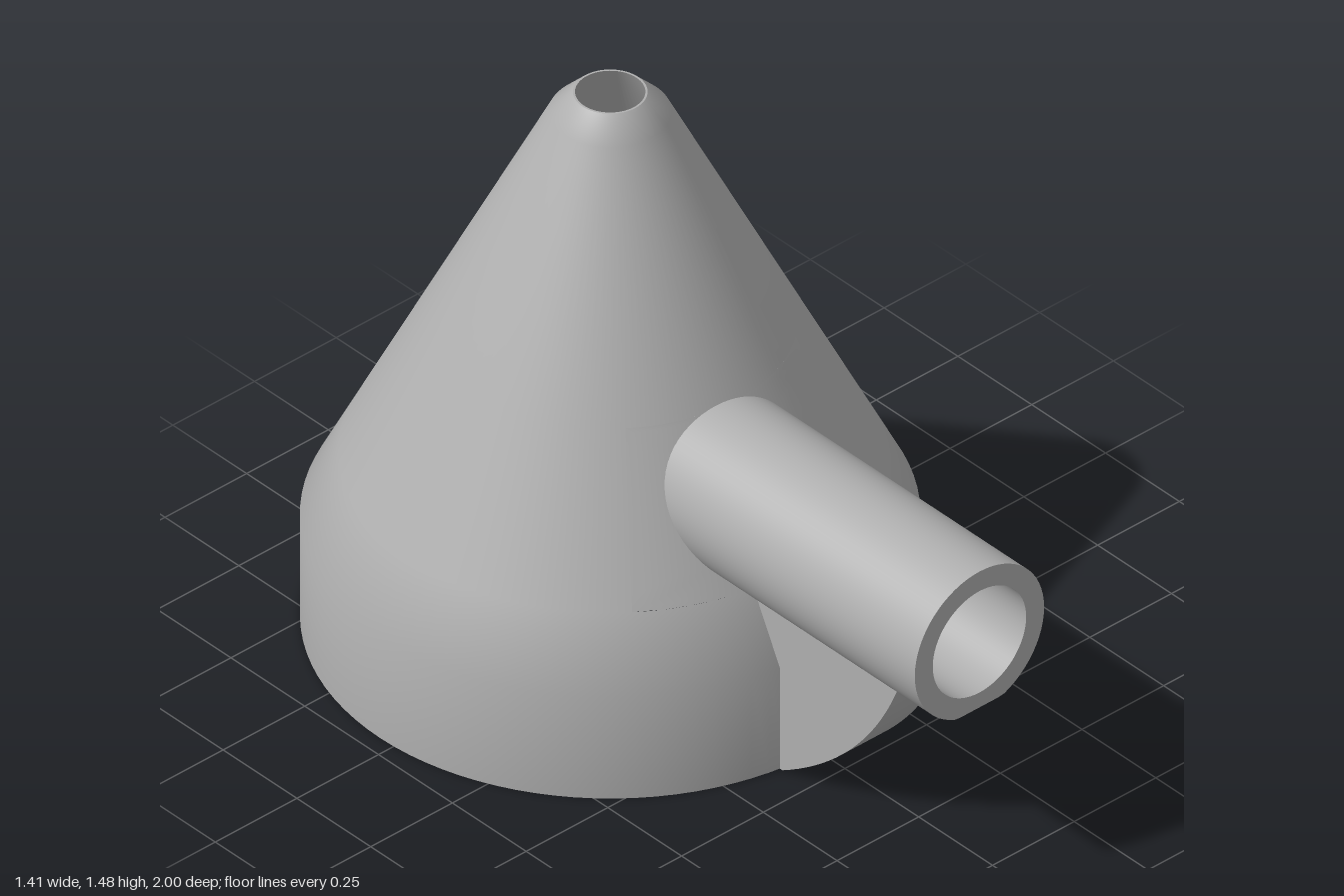
import * as THREE from 'three';
import { toCreasedNormals } from 'three/addons/utils/BufferGeometryUtils.js';

const ZC = -0.295;                          // axis of the cone
const PX = -0.04, PY = 0.65;                // axis of the pipe
const PIPE_R = 0.198, BORE_R = 0.143, FLAT_Y = 0.465;
const LOW = 0.46, HIGH = 0.84;              // band of the wall pierced by the bore
const STEPS = 96, HALF = 10 * Math.PI * 2 / STEPS;
const N = 64;

// wall radii by height
const outerR = y => 0.705 - 0.498 * (y - 0.285);
const innerR = y => 0.615 - 0.493 * (y - 0.39);

const onCone = (phi, y, r) => [r(y) * Math.sin(phi), y, ZC + r(y) * Math.cos(phi)];
const loop = fn => Array.from({ length: N }, (_, i) => fn(i / N * Math.PI * 2));

// skin between successive closed loops of points
function loft(rings) {
  const index = [];
  for (let k = 0; k < rings.length - 1; k++) {
    for (let i = 0; i < N; i++) {
      const a = k * N + i, b = k * N + (i + 1) % N;
      index.push(a, a + N, b + N, a, b + N, b);
    }
  }
  const geo = new THREE.BufferGeometry();
  geo.setAttribute('position', new THREE.Float32BufferAttribute(rings.flat(2), 3));
  geo.setIndex(index);
  return toCreasedNormals(geo, 0.25);
}

// patch of cone wall around the round bore opening
function piercedPatch(r) {
  const rings = [];
  for (let k = 0; k <= 8; k++) {
    const f = k / 8;
    rings.push(loop(t => {
      const c = Math.cos(t), s = Math.sin(t), m = Math.max(Math.abs(c), Math.abs(s));
      const hy = PY + BORE_R * s;
      const hp = Math.asin((PX + BORE_R * c) / r(hy));
      const ey = (LOW + HIGH) / 2 + (HIGH - LOW) / 2 * s / m;
      return onCone(hp + (HALF * c / m - hp) * f, hy + (ey - hy) * f, r);
    }));
  }
  return rings;
}

// circle of the pipe, with its underside flattened when asked
const section = (R, t, flat) =>
  [PX + R * Math.cos(t), Math.max(PY + R * Math.sin(t), flat ? FLAT_Y : -1)];

// the pipe section carried back to a conical surface
const meetCone = (R, r, flat) => loop(t => {
  const [x, y] = section(R, t, flat);
  return [x, y, ZC + Math.sqrt(r(y) ** 2 - x * x)];
});
const atMouth = (R, flat) => loop(t => [...section(R, t, flat), 1]);

export function createModel() {
  const model = new THREE.Group();
  model.name = 'coneWithPipe';
  const grey = new THREE.MeshStandardMaterial({ color: 0xb0b0b0 });
  grey.name = 'grey';

  const add = (name, geo) => {
    const mesh = new THREE.Mesh(geo, grey);
    mesh.name = name;
    model.add(mesh);
    return mesh;
  };
  const turn = (name, profile, start = 0, steps = STEPS) => {
    const pts = profile.map(p => new THREE.Vector2(...p));
    const geo = new THREE.LatheGeometry(pts, steps, start, steps / STEPS * Math.PI * 2);
    add(name, geo).position.z = ZC;
  };

  // outer shell
  turn('outerBase', [[0.705, 0], [0.705, 0.285], [outerR(LOW), LOW]]);
  turn('outerBand', [[outerR(LOW), LOW], [outerR(HIGH), HIGH]], HALF, STEPS - 20);
  turn('outerTip', [[outerR(HIGH), HIGH], [0.14, 1.42], [0.085, 1.475]]);
  add('outerOpening', loft(piercedPatch(outerR)));

  // rims
  turn('topRim', [[0.085, 1.475], [0.08, 1.475]]);
  turn('bottomRim', [[0.615, 0], [0.705, 0]]);

  // inner shell
  turn('innerTip', [[0.08, 1.475], [innerR(HIGH), HIGH]]);
  turn('innerBand', [[innerR(HIGH), HIGH], [innerR(LOW), LOW]], HALF, STEPS - 20);
  turn('innerCone', [[innerR(LOW), LOW], [0.615, 0.39]]);
  turn('innerBase', [[0.615, 0.39], [0.615, 0]]);
  add('innerOpening', loft(piercedPatch(innerR).reverse()));

  // pipe: outside, bore and mouth ring
  add('pipeOutside', loft([atMouth(PIPE_R, true), meetCone(PIPE_R, y => outerR(y) - 0.015, true)]));
  add('pipeBore', loft([meetCone(BORE_R, innerR, false), atMouth(BORE_R, false)]));
  add('pipeMouth', loft([atMouth(BORE_R, false), atMouth(PIPE_R, true)]));

  // curved rib under the pipe, drawn as (z, y) and extruded across x
  const rib = new THREE.Shape();
  rib.moveTo(0.36, 0);
  rib.lineTo(0.41, 0);
  rib.quadraticCurveTo(0.70, 0.17, 0.81, FLAT_Y);
  rib.lineTo(0.30, FLAT_Y);
  rib.lineTo(0.36, 0.285);
  const ribGeo = new THREE.ExtrudeGeometry(rib, { depth: 0.14, bevelEnabled: false, curveSegments: 20 });
  ribGeo.rotateY(-Math.PI / 2);
  ribGeo.translate(0.03, 0, 0);
  add('supportRib', toCreasedNormals(ribGeo, 0.4));

  return model;
}
